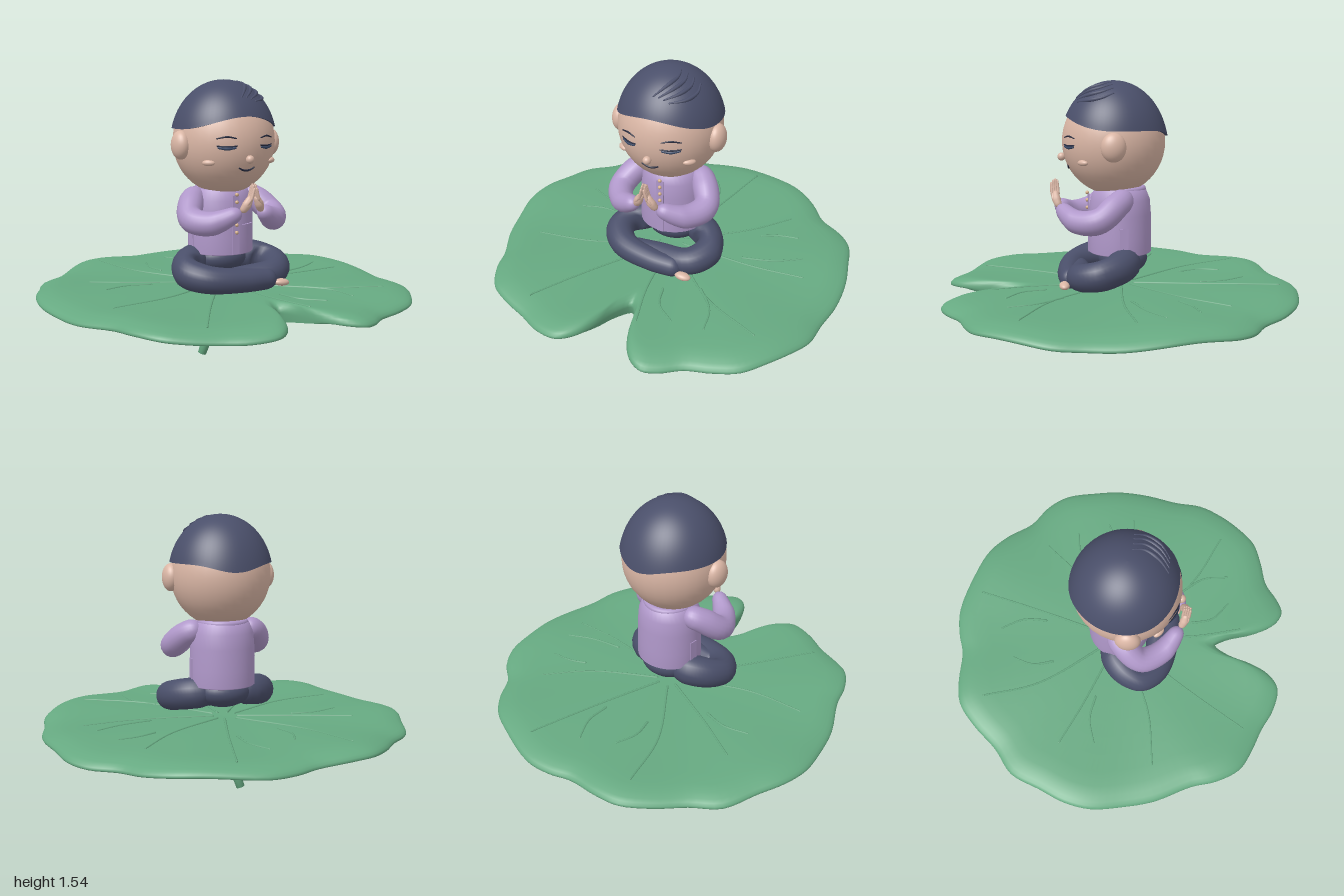
import * as THREE from 'three';
import { mergeVertices } from 'three/addons/utils/BufferGeometryUtils.js';

const mat = (name, color) => Object.assign(new THREE.MeshStandardMaterial({ color }), { name });
const V = (x, y, z) => new THREE.Vector3(x, y, z);

// Leaf outline as x, z pairs, starting at the tip of the notch
const OUTLINE = [
  0.03, 0.58, 0.08, 0.65, 0.13, 0.82, 0.2, 0.93, 0.28, 0.97, 0.36, 0.94, 0.46, 0.87, 0.6, 0.83, 0.72, 0.78,
  0.82, 0.67, 0.9, 0.55, 0.955, 0.43, 0.97, 0.28, 1, 0.1, 1, -0.08, 0.97, -0.25, 0.93, -0.42, 0.85, -0.53,
  0.72, -0.62, 0.62, -0.75, 0.5, -0.85, 0.35, -0.91, 0.1, -0.97, -0.05, -0.95, -0.17, -0.91, -0.35, -0.9,
  -0.48, -0.87, -0.6, -0.77, -0.72, -0.63, -0.85, -0.52, -0.92, -0.35, -0.98, -0.2, -1, -0.05, -0.97, 0.12,
  -0.92, 0.3, -0.82, 0.5, -0.78, 0.63, -0.7, 0.76, -0.6, 0.82, -0.45, 0.88, -0.33, 0.94, -0.2, 0.96,
  -0.12, 0.9, -0.07, 0.8, -0.03, 0.67];

// Head ellipsoid (centre, radii) and the hair cap's radii
const HEAD = { y: 1.213, z: 0.045, rx: 0.275, ry: 0.288, rz: 0.28 };
const HAIR = { r: 0.285, ry: 0.326 };
const onFace = (x, y) => V(x, y, HEAD.z +
  HEAD.rz * Math.sqrt(Math.max(0, 1 - (x / HEAD.rx) ** 2 - ((y - HEAD.y) / HEAD.ry) ** 2)));

// Leaf heights: a nearly flat, rippled upper face over a bowl-shaped underside
const ripple = (x, z) => 0.013 * Math.hypot(x, z) ** 3 * Math.sin(7 * Math.atan2(x, z) + 1.5);
const leafTop = (x, z) => {
  const r = Math.hypot(x, z);
  return 0.42 + 0.02 * r + ripple(x, z) - 0.022 * Math.max(0, x) * r * r;
};
const leafUnder = (x, z) => 0.295 + 0.115 * Math.hypot(x, z) ** 2.2 + ripple(x, z);

// Rings of points joined into a surface that wraps round
function ringSurface(rows, cols, point) {
  const pos = [], index = [];
  for (let i = 0; i < rows; i++) for (let j = 0; j < cols; j++) {
    pos.push(...point(i, j).toArray());
    if (i === rows - 1) continue;
    const a = i * cols + j, b = i * cols + (j + 1) % cols;
    index.push(a, a + cols, b, b, a + cols, b + cols);
  }
  const geo = new THREE.BufferGeometry();
  geo.setAttribute('position', new THREE.Float32BufferAttribute(pos, 3));
  geo.setIndex(index);
  geo.computeVertexNormals();
  return geo;
}

// Tube with varying radius and rounded ends
function limb(points, radii, segs = 40, sides = 18) {
  const path = new THREE.CatmullRomCurve3(points), len = path.getLength();
  const geo = new THREE.TubeGeometry(path, segs, 1, sides);
  const p = geo.attributes.position, v = V(0, 0, 0);
  for (let i = 0; i <= segs; i++) {
    const t = (1 - Math.cos(Math.PI * i / segs)) / 2, c = path.getPointAt(t), c0 = path.getPointAt(i / segs);
    const k = t * (radii.length - 1), n = Math.min(Math.floor(k), radii.length - 2);
    const r = THREE.MathUtils.lerp(radii[n], radii[n + 1], k - n);
    const e = Math.min(1, Math.min(t, 1 - t) * len / r);
    for (let j = 0; j <= sides; j++) {
      const id = i * (sides + 1) + j;
      v.fromBufferAttribute(p, id).sub(c0).multiplyScalar(r * Math.sqrt(Math.max(1e-6, e * (2 - e)))).add(c);
      p.setXYZ(id, v.x, v.y, v.z);
    }
  }
  geo.deleteAttribute('uv');
  geo.deleteAttribute('normal');
  const out = mergeVertices(geo, 1e-6);
  out.computeVertexNormals();
  return out;
}

export function createModel() {
  const green = mat('leafGreen', 0x66a981), lilac = mat('jacketLilac', 0xb098ca), navy = mat('navyCloth', 0x4a4f6a);
  const skin = mat('skin', 0xdab6a5), ink = mat('darkInk', 0x24283c), lid = mat('eyeBlue', 0x3a4a68);
  const tan = mat('buttonTan', 0xd2ae8a);
  const model = new THREE.Group(), person = new THREE.Group();
  person.name = 'person';
  person.position.x = 0.011;
  model.add(person);
  const add = (name, geo, material, x = 0, y = 0, z = 0, parent = person) => {
    const m = new THREE.Mesh(geo, material);
    m.name = name;
    m.position.set(x, y, z);
    parent.add(m);
    return m;
  };
  const ball = (name, material, c, rx, ry = rx, rz = rx) =>
    add(name, new THREE.SphereGeometry(1, 32, 24).scale(rx, ry, rz), material, c.x, c.y, c.z);

  // Leaf: upper face outward, rolled rim, lower face back inward
  const outlinePts = [];
  for (let i = 0; i < OUTLINE.length; i += 2) outlinePts.push(V(OUTLINE[i], 0, OUTLINE[i + 1]));
  const rim = new THREE.CatmullRomCurve3(outlinePts, true), cols = outlinePts.length * 4;
  const steps = [0, 0.1, 0.2, 0.3, 0.4, 0.5, 0.6, 0.7, 0.8, 0.88, 0.93, 0.965, 0.985];
  const rows = [...steps.map(t => [t, 0]), [0.997, -0.006], [1, -0.014], [0.997, -0.022],
    ...steps.slice().reverse().map(t => [t, -0.028])];
  add('leaf', ringSurface(rows.length, cols, (i, j) => {
    const [t, dy] = rows[i], p = rim.getPoint(j / cols).multiplyScalar(t);
    p.y = leafTop(p.x, p.z) + dy - 0.035 * (Math.max(0, t - 0.86) / 0.14) ** 2;
    if (dy === -0.028) p.y = Math.min(p.y, leafUnder(p.x, p.z));
    return p;
  }), green, 0, 0, 0, model);

  // Leaf veins: x, z of start, middle and end
  const veins = [
    [0.02, -0.06, 0.12, -0.45, 0.21, -0.85], [0.05, -0.04, 0.37, -0.27, 0.56, -0.49], [0.06, 0.01, 0.5, 0.045, 0.79, 0.02],
    [0.05, 0.06, 0.38, 0.4, 0.71, 0.57], [0.02, 0.07, 0.06, 0.45, 0.13, 0.72], [-0.03, 0.06, -0.3, 0.48, -0.47, 0.77],
    [-0.06, 0.03, -0.4, 0.21, -0.73, 0.27], [-0.06, -0.02, -0.42, -0.16, -0.66, -0.27], [-0.04, -0.06, -0.32, -0.43, -0.43, -0.74],
    [-0.18, -0.36, -0.21, -0.48, -0.18, -0.6], [0.07, -0.43, 0.06, -0.57, -0.01, -0.7], [0.42, 0, 0.6, -0.05, 0.74, -0.13],
    [0.45, -0.24, 0.55, -0.29, 0.66, -0.31], [0.32, 0.34, 0.43, 0.48, 0.46, 0.63], [0.14, 0.42, 0.18, 0.55, 0.29, 0.64],
    [-0.36, -0.09, -0.5, -0.11, -0.64, -0.07]];
  for (const [a, b, c, d, e, f] of veins) {
    const flat = new THREE.CatmullRomCurve3([V(a, 0, b), V(c, 0, d), V(e, 0, f)]);
    const pts = flat.getPoints(10).map(p => V(p.x, leafTop(p.x, p.z), p.z));
    add('leafVein', limb(pts, [0.008, 0.006, 0.005], 24, 6), green, 0, 0, 0, model);
  }

  // Stem, leaning, with a pinched neck and a flared top
  const stemProfile = [[0, 0], [0.024, 0], [0.027, 0.08], [0.035, 0.19], [0.034, 0.22], [0.022, 0.25], [0.024, 0.27], [0.045, 0.3], [0.05, 0.32]];
  const stem = add('stem', new THREE.LatheGeometry(stemProfile.map(p => new THREE.Vector2(...p)), 20), green, -0.083, 0.007, -0.035, model);
  stem.quaternion.setFromUnitVectors(V(0, 1, 0), V(0.09, 0.3, 0.05).normalize());

  // Head, ears, nose and closed eyes
  ball('head', skin, V(0, HEAD.y, HEAD.z), HEAD.rx, HEAD.ry, HEAD.rz);
  ball('nose', skin, V(0, 1.133, 0.328), 0.022);
  for (const s of [-1, 1]) {
    ball('ear', skin, V(s * 0.272, 1.2, 0.075), 0.048, 0.076, 0.066);
    const cheek = ball('cheek', skin, onFace(s * 0.187, 1.115), 0.034, 0.016, 0.018);
    cheek.rotation.y = s * 0.7;
    const line = (name, m, pts, r) => add(name, limb(pts.map(([x, y]) => onFace(s * x, y)), [r * 0.6, r, r * 0.6], 20, 8), m);
    line('eyebrow', ink, [[0.07, 1.241], [0.115, 1.25], [0.165, 1.24]], 0.005);
    line('eyelid', lid, [[0.072, 1.195], [0.115, 1.19], [0.16, 1.195]], 0.009);
    line('lashes', ink, [[0.065, 1.204], [0.115, 1.199], [0.165, 1.204]], 0.005);
  }
  add('mouth', limb([[-0.047, 1.09], [-0.025, 1.078], [0, 1.073], [0.025, 1.078], [0.047, 1.09]].map(p => onFace(...p)), [0.004, 0.006, 0.004], 20, 8), ink);

  // Hair cap with a wavy lower edge, a lip at the nape and a closed underside
  const hairRows = 22;
  add('hair', ringSurface(hairRows + 3, 64, (i, j) => {
    const a = j / 64 * Math.PI * 2, c = Math.cos(a), back = Math.max(0, -c), v = Math.min(i, hairRows) / hairRows;
    const edge = 1.282 + (c > 0 ? 0.068 * c ** 2.5 : -0.04 * back ** 8);
    const phi = Math.acos((edge - HEAD.y) / HAIR.ry) * v;
    const r = HAIR.r * Math.sin(phi) * (1 + 0.03 * back ** 2 * v ** 6) * (i > hairRows + 1 ? 0.85 : 1);
    return V(Math.sin(a) * r, HEAD.y + HAIR.ry * Math.cos(phi), HEAD.z + c * r);
  }), navy);

  // Swept strands raised on the hair
  for (let k = 0; k < 4; k++) {
    const d = 0.035 * k;
    const pts = [[0.17 - d, 0.06], [0.18 - d, 0.12], [0.15 - d, 0.19], [0.08 - d * 0.8, 0.245]].map(([x, z]) =>
      V(x, HEAD.y + HAIR.ry * Math.sqrt(1 - (x * x + (z - HEAD.z) ** 2) / HAIR.r ** 2), z));
    add('hairStrand', limb(pts, [0.004, 0.011, 0.004], 24, 8), navy);
  }

  // Jacket body
  const body = [[0, 0.605], [0.172, 0.605], [0.178, 0.61], [0.177, 0.7], [0.175, 0.82], [0.168, 0.9], [0.145, 0.955], [0.1, 0.98], [0, 0.985]];
  add('jacket', new THREE.LatheGeometry(body.map(p => new THREE.Vector2(...p)), 40).scale(1.02, 1, 0.97), lilac, 0, 0, 0.01);
  add('collar', new THREE.TorusGeometry(0.125, 0.018, 10, 36).rotateX(Math.PI / 2), lilac, 0, 0.955, 0.01);
  add('placket', new THREE.BoxGeometry(0.04, 0.32, 0.008), lilac, 0, 0.77, 0.183);
  for (let k = 0; k < 6; k++) ball('button', tan, V(0.002, 0.73 + k * 0.041, 0.19), 0.01);
  for (const s of [-1, 1]) {
    const patch = (name, y, h, r, w) =>
      add(name, new THREE.CylinderGeometry(r, r, h, 12, 1, false, s * 0.52 - w / 2, w), lilac, 0, y, 0.01);
    patch('pocket', 0.735, 0.06, 0.18, 0.48);
    patch('pocketFlap', 0.763, 0.014, 0.184, 0.54);
    add('sideVent', new THREE.BoxGeometry(0.008, 0.15, 0.045), lilac, s * 0.179, 0.685, 0.01);
  }

  // Sleeves and joined hands
  for (const s of [-1, 1]) {
    add('sleeve', limb([V(s * 0.13, 0.935, -0.02), V(s * 0.2, 0.89, 0.05), V(s * 0.247, 0.815, 0.15), V(s * 0.18, 0.805, 0.265), V(s * 0.06, 0.87, 0.345)],
      [0.06, 0.07, 0.068, 0.062, 0.035]), lilac);
    add('palm', limb([V(s * 0.058, 0.865, 0.345), V(s * 0.037, 0.905, 0.36), V(s * 0.014, 0.95, 0.365)], [0.018, 0.024, 0.015], 16, 12), skin);
    for (let k = 0; k < 4; k++) {
      const z = 0.349 + k * 0.011, tip = 1.0 + 0.015 * Math.sin(k + 0.5);
      add('finger', limb([V(s * 0.024, 0.925, z), V(s * 0.013, 0.965, z + 0.002), V(s * 0.006, tip, z + 0.004)], [0.009, 0.008, 0.006], 10, 8), skin);
    }
    add('thumb', limb([V(s * 0.05, 0.885, 0.36), V(s * 0.038, 0.915, 0.378), V(s * 0.018, 0.94, 0.38)], [0.01, 0.009, 0.007], 10, 8), skin);
  }

  // Hips, crossed legs and feet
  ball('hips', navy, V(0, 0.57, -0.005), 0.155, 0.09, 0.135);
  const leg = (s, z) => {
    add('leg', limb([V(s * 0.07, 0.575, -0.04), V(s * 0.19, 0.56, 0.02), V(s * 0.268, 0.53, 0.13), V(s * 0.2, 0.505, 0.24),
      V(0, 0.49, z), V(s * -0.18, 0.485, z)], [0.085, 0.088, 0.08, 0.07, 0.062, 0.055], 56), navy);
    const foot = ball('foot', skin, V(s * -0.2, 0.466, z + 0.035), 0.045, 0.02, 0.028);
    foot.rotation.z = s * 0.1;
  };
  leg(-1, 0.295);
  leg(1, 0.23);
  return model;
}
